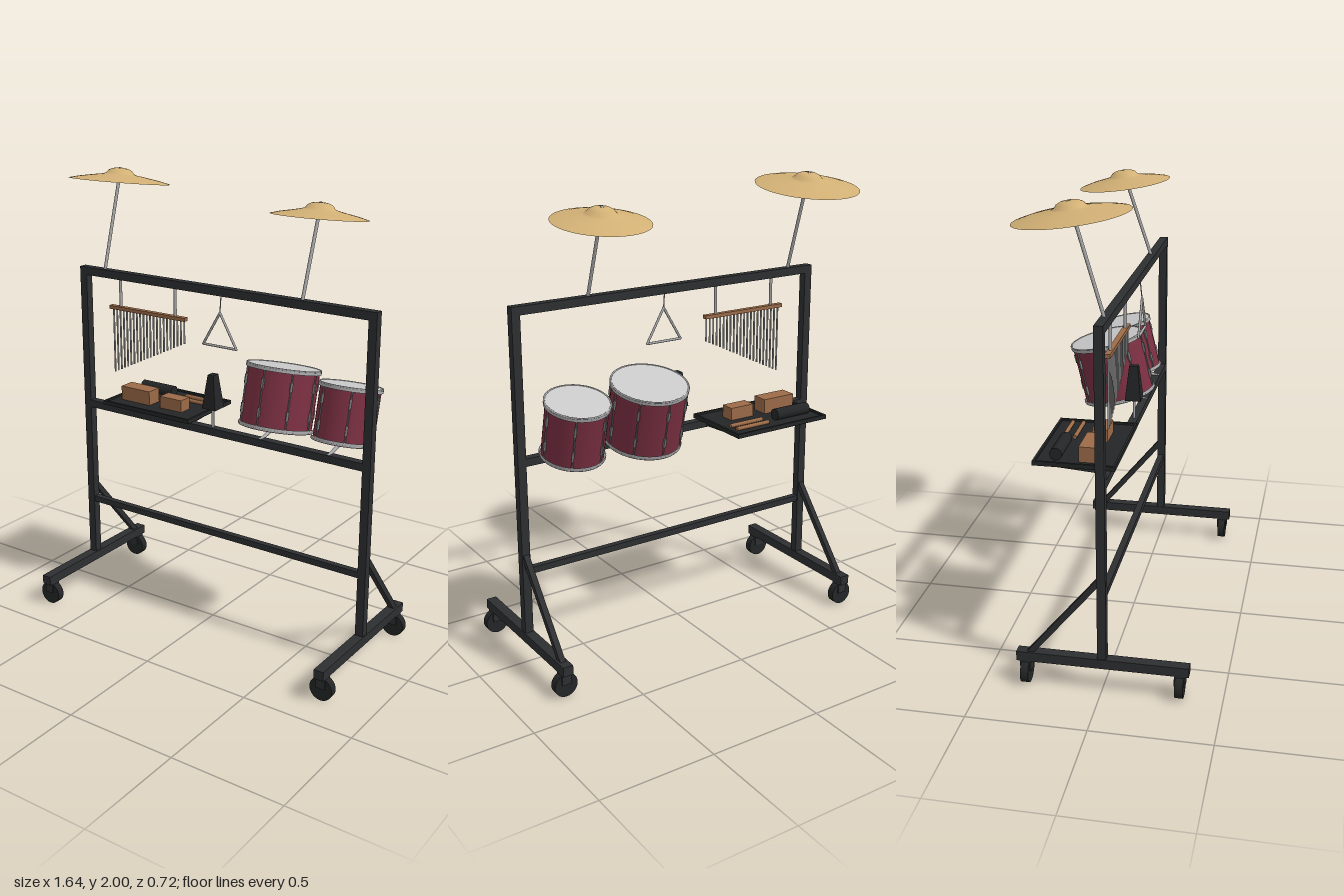
import * as THREE from 'three';

const mat = (name, color, side = THREE.FrontSide) => {
  const m = new THREE.MeshStandardMaterial({ color, side });
  m.name = name;
  return m;
};

export function createModel() {
  const root = new THREE.Group();
  root.name = 'percussionRack';
  const frame = mat('frame black', 0x2e2f31);
  const black = mat('tray black', 0x242526);
  const brass = mat('brass', 0xd2b075, THREE.DoubleSide);
  const chrome = mat('chrome', 0xaaaaac);
  const steel = mat('dark steel', 0x77787a);
  const red = mat('drum red', 0x7c3042);
  const skin = mat('drum head', 0xcacacb);
  const wood = mat('wood', 0x9c6b48);

  const V = (x, y, z) => new THREE.Vector3(x, y, z);
  const add = (name, geo, material, x = 0, y = 0, z = 0, parent = root) => {
    const m = new THREE.Mesh(geo, material);
    m.name = name;
    m.position.set(x, y, z);
    parent.add(m);
    return m;
  };
  const box = (name, w, h, d, material, x, y, z, parent) =>
    add(name, new THREE.BoxGeometry(w, h, d), material, x, y, z, parent);
  // Aligns a y-axis mesh between two points
  const span = (name, geoFor, material, a, b, parent) => {
    const dir = b.clone().sub(a);
    const m = add(name, geoFor(dir.length()), material, 0, 0, 0, parent);
    m.position.copy(a).add(b).multiplyScalar(0.5);
    m.quaternion.setFromUnitVectors(V(0, 1, 0), dir.normalize());
    return m;
  };
  const rod = (name, r, material, a, b, parent) =>
    span(name, (l) => new THREE.CylinderGeometry(r, r, l, 10), material, a, b, parent);
  const bar = (name, w, d, material, a, b, parent) =>
    span(name, (l) => new THREE.BoxGeometry(w, l, d), material, a, b, parent);

  // Frame: posts, feet, braces, casters
  const postX = [-0.703, 0.768];
  for (const x of postX) {
    box('post', 0.037, 1.43, 0.037, frame, x, 0.85, 0);
    box('foot', 0.045, 0.042, 0.72, frame, x, 0.126, 0);
    bar('brace', 0.025, 0.025, frame, V(x, 0.5, -0.01), V(x, 0.135, -0.31));
    for (const z of [-0.322, 0.322]) {
      const caster = new THREE.Group();
      caster.name = 'caster';
      caster.position.set(x, 0.052, z);
      root.add(caster);
      const wheel = new THREE.CylinderGeometry(0.052, 0.052, 0.034, 28).rotateX(Math.PI / 2);
      add('wheel', wheel, black, 0, 0, 0, caster);
      box('casterFork', 0.042, 0.05, 0.046, frame, 0, 0.03, 0, caster);
    }
  }
  const midX = (postX[0] + postX[1]) / 2, width = postX[1] - postX[0];
  box('topBeam', width + 0.037, 0.036, 0.037, frame, midX, 1.548, 0);
  box('middleBeam', width, 0.034, 0.037, frame, midX, 0.914, 0);
  box('lowerBeam', width, 0.028, 0.028, frame, midX, 0.427, 0);

  // Cymbals on leaning rods
  const cymbal = (x, r, y) => {
    const profile = [[r, 0], [r * 0.8, 0.011], [r * 0.55, 0.021], [0.075, 0.029], [0.062, 0.034],
      [0.052, 0.047], [0.036, 0.055], [0.018, 0.058], [0.006, 0.058]];
    const geo = new THREE.LatheGeometry(profile.map(([a, b]) => new THREE.Vector2(a, b)), 56);
    const c = add('cymbal', geo, brass, x, y, -0.123);
    c.rotation.x = -0.135;
    rod('cymbalRod', 0.0075, chrome, V(x, 1.55, 0), V(x, y + 0.059, -0.133));
  };
  cymbal(-0.593, 0.228, 1.943);
  cymbal(0.437, 0.203, 1.883);

  // Bar chimes
  for (const x of [-0.503, -0.2]) rod('chimeHanger', 0.007, chrome, V(x, 1.39, 0), V(x, 1.54, 0));
  box('chimeBar', 0.42, 0.016, 0.024, wood, -0.352, 1.397, 0);
  const chimes = 22;
  for (let i = 0; i < chimes; i++) {
    const t = i / (chimes - 1), x = -0.545 + 0.393 * t;
    rod('chime', 0.0042, chrome, V(x, 1.39, 0), V(x, 1.092 + 0.195 * t, 0));
  }

  // Triangle
  const corners = [V(0.053, 1.46, 0.025), V(0.137, 1.313, 0.025), V(-0.033, 1.313, 0.025)];
  corners.forEach((p, i) => {
    rod('triangleSide', 0.0055, chrome, p, corners[(i + 1) % 3]);
    add('triangleCorner', new THREE.SphereGeometry(0.0055, 10, 8), chrome, p.x, p.y, p.z);
  });
  rod('triangleCord', 0.0025, chrome, corners[0], V(0.053, 1.535, 0.017));

  // Cowbell: a box narrowed toward the top
  const bell = new THREE.BoxGeometry(0.07, 0.153, 0.07);
  const bp = bell.attributes.position;
  for (let i = 0; i < bp.count; i++) {
    if (bp.getY(i) > 0) bp.setXYZ(i, bp.getX(i) * 0.42, bp.getY(i), bp.getZ(i) * 0.55);
  }
  bell.computeVertexNormals();
  add('cowbell', bell, black, 0, 1.097, 0);
  rod('cowbellStem', 0.006, chrome, V(0, 0.92, 0), V(0, 1.03, 0));

  // Tray with raised rim and support arms
  box('trayPlate', 0.484, 0.01, 0.34, black, -0.352, 0.937, -0.135);
  for (const z of [-0.3, 0.03]) box('trayRim', 0.484, 0.016, 0.01, black, -0.352, 0.943, z);
  for (const x of [-0.589, -0.115]) box('trayRim', 0.01, 0.016, 0.34, black, x, 0.943, -0.135);
  for (const x of [-0.55, -0.154]) {
    bar('trayArm', 0.02, 0.014, frame, V(x, 0.908, -0.01), V(x, 0.929, -0.27));
  }

  // Small instruments on the tray
  box('largeWoodBlock', 0.162, 0.066, 0.075, wood, -0.47, 0.975, -0.085);
  box('smallWoodBlock', 0.12, 0.056, 0.065, wood, -0.27, 0.97, -0.083);
  for (const z of [-0.24, -0.193]) {
    rod('clave', 0.009, wood, V(-0.32, 0.951, z), V(-0.148, 0.951, z));
  }
  span('shaker', (l) => new THREE.CylinderGeometry(0.026, 0.026, l, 24), black,
    V(-0.55, 0.968, -0.217), V(-0.372, 0.968, -0.217));

  // Tilted drums
  const drum = (x, r, h, bottomY, bottomZ, lugs, phase) => {
    const tilt = -0.235;
    const g = new THREE.Group();
    g.name = 'drum';
    g.position.set(x, bottomY, bottomZ);
    g.rotation.x = tilt;
    root.add(g);
    const shell = r - 0.009;
    add('shell', new THREE.CylinderGeometry(shell, shell, h - 0.01, 48), red, 0, h / 2, 0, g);
    for (const end of [0, 1]) {
      const y = end ? h - 0.009 : 0.009;
      add('hoop', new THREE.CylinderGeometry(r - 0.001, r - 0.001, 0.016, 48, 1, true), chrome, 0, y, 0, g);
      const edge = new THREE.TorusGeometry(r - 0.004, 0.004, 8, 48).rotateX(Math.PI / 2);
      add('hoopEdge', edge, chrome, 0, end ? h - 0.002 : 0.002, 0, g);
      add('head', new THREE.CylinderGeometry(r - 0.003, r - 0.003, 0.004, 48), skin, 0, end ? h - 0.003 : 0.003, 0, g);
    }
    for (let i = 0; i < lugs; i++) {
      const a = phase + (i / lugs) * Math.PI * 2;
      const px = Math.sin(a) * (r - 0.005), pz = Math.cos(a) * (r - 0.005);
      rod('tensionRod', 0.0035, steel, V(px, 0.01, pz), V(px, h - 0.01, pz), g);
      for (const f of [0.27, 0.73]) {
        const lug = box('lug', 0.011, 0.04, 0.011, steel, px, h * f, pz, g);
        lug.rotation.y = a;
      }
    }
    // Mounting rod from the beam to the underside
    rod('drumMount', 0.008, chrome, V(x, 0.925, 0.012), V(x, bottomY + 0.005, bottomZ));
  };
  drum(0.253, 0.166, 0.272, 0.947, -0.114, 8, 0);
  drum(0.587, 0.138, 0.245, 0.951, -0.112, 6, Math.PI / 6);

  return root;
}
